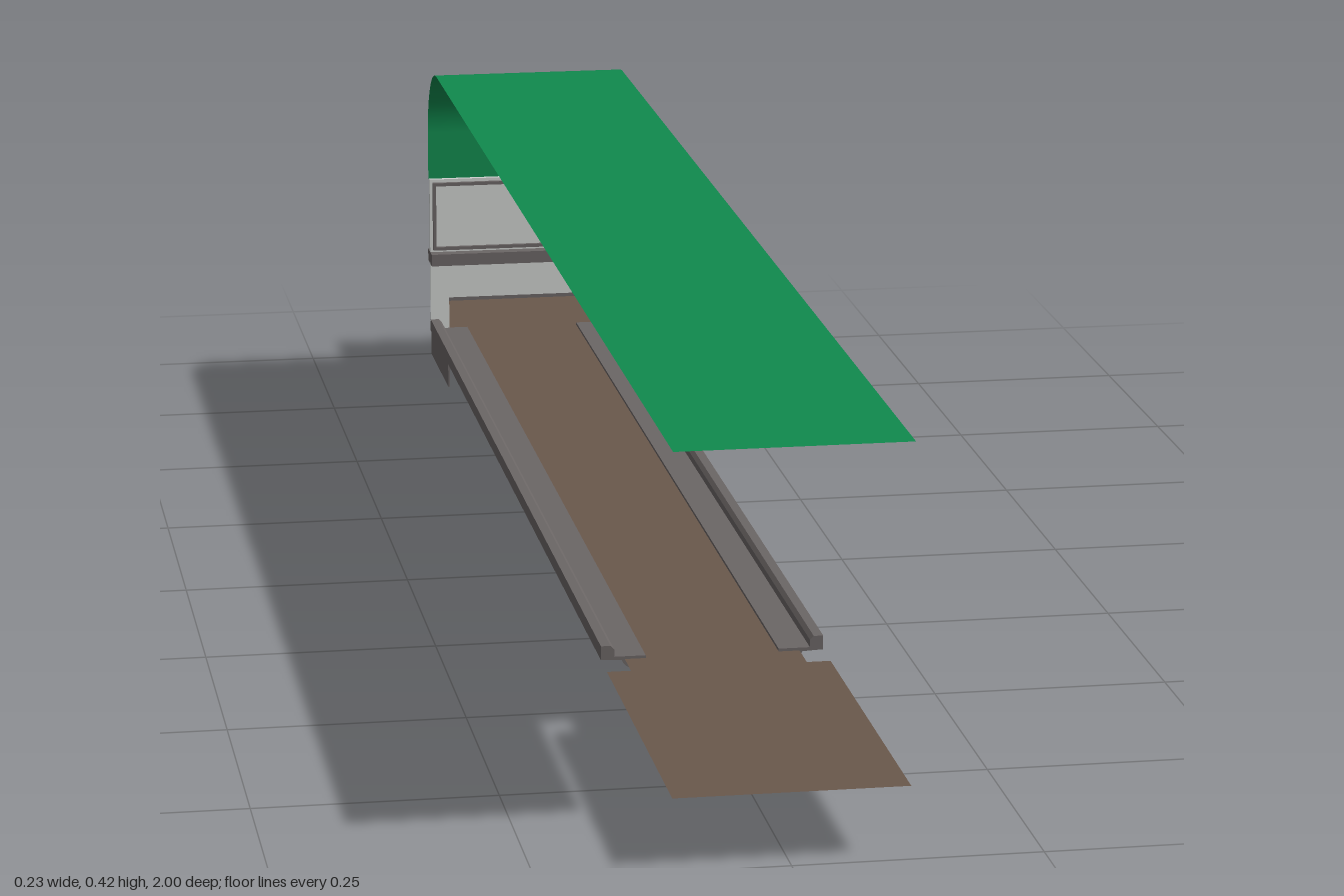
import * as THREE from 'three';

const mat = (name, color, side = THREE.DoubleSide) => {
  const m = new THREE.MeshStandardMaterial({ color, side });
  m.name = name;
  return m;
};

export function createModel() {
  const green = mat('green roof', 0x108a4e);
  const brown = mat('brown floor', 0x6a584b);
  const dark = mat('dark grey trim', 0x6b6665);
  const light = mat('light grey panel', 0xcdd0ce);
  const rose = mat('ceiling lamp', 0x8c706c);
  const model = new THREE.Group();

  const add = (name, geometry, material, parent = model) => {
    const mesh = new THREE.Mesh(geometry, material);
    mesh.name = name;
    parent.add(mesh);
    return mesh;
  };
  // box given by its min and max on each axis
  const box = (name, material, x0, x1, y0, y1, z0, z1, parent) => {
    const m = add(name, new THREE.BoxGeometry(x1 - x0, y1 - y0, z1 - z0), material, parent);
    m.position.set((x0 + x1) / 2, (y0 + y1) / 2, (z0 + z1) / 2);
    return m;
  };

  const W = 0.117, wallZ = -0.83;

  // roof sheet: flat run, quarter bend, short drop at the back
  const top = 0.42, back = -0.84, R = 0.09;
  const rows = [[top, 1, 1, 0]]; // y, z, normal y, normal z
  for (let i = 0; i <= 16; i++) {
    const a = (i / 16) * Math.PI / 2, c = Math.cos(a), s = Math.sin(a);
    rows.push([top - R + R * c, back + R - R * s, c, -s]);
  }
  rows.push([0.27, back, 0, -1]);
  const pos = [], nor = [], idx = [];
  rows.forEach(([y, z, ny, nz], i) => {
    pos.push(-W, y, z, W, y, z);
    nor.push(0, ny, nz, 0, ny, nz);
    if (i) {
      const a = 2 * i - 2;
      idx.push(a, a + 1, a + 3, a, a + 3, a + 2);
    }
  });
  const roof = new THREE.BufferGeometry();
  roof.setAttribute('position', new THREE.Float32BufferAttribute(pos, 3));
  roof.setAttribute('normal', new THREE.Float32BufferAttribute(nor, 3));
  roof.setIndex(idx);
  add('roof', roof, green);

  // round lamps under the roof
  for (const z of [0.78, 0.485, 0.135, -0.16, -0.455]) {
    add('ceilingLamp', new THREE.CylinderGeometry(0.013, 0.013, 0.004, 16), rose)
      .position.set(0.01, top - 0.003, z);
  }

  // floor: wide at the front, narrow between the rails
  const n = 0.092, step = 0.6;
  const floor = new THREE.Shape([
    [-W, -1], [W, -1], [W, -step], [n, -step], [n, 0.98], [-n, 0.98], [-n, -step], [-W, -step],
  ].map(p => new THREE.Vector2(...p)));
  const floorMesh = add('floor', new THREE.ShapeGeometry(floor), brown);
  floorMesh.rotation.x = -Math.PI / 2;
  floorMesh.position.y = 0.075;

  // side rails: outer curb, flat ledge and rounded underside
  for (const s of [-1, 1]) {
    const rail = new THREE.Shape();
    rail.moveTo(s * W, 0.075);
    rail.lineTo(s * W, 0.09);
    rail.lineTo(s * 0.107, 0.09);
    rail.lineTo(s * 0.103, 0.086);
    rail.lineTo(s * 0.103, 0.078);
    rail.lineTo(s * 0.07, 0.078);
    rail.lineTo(s * 0.07, 0.074);
    rail.bezierCurveTo(s * 0.073, 0.062, s * 0.092, 0.062, s * 0.095, 0.074);
    const g = new THREE.ExtrudeGeometry(rail, { depth: 0.56 - wallZ, bevelEnabled: false, curveSegments: 8 });
    add(s > 0 ? 'leftRail' : 'rightRail', g, dark).position.z = wallZ;
  }

  // end wall: upper panel with a dark frame, cross bar and door jambs
  const wall = new THREE.Group();
  wall.name = 'endWall';
  model.add(wall);
  box('upperPanel', light, -W, W, 0.178, 0.272, wallZ - 0.003, wallZ + 0.003, wall);
  const frame = new THREE.Shape();
  const rect = (p, x, y0, y1) => {
    p.moveTo(-x, y0); p.lineTo(x, y0); p.lineTo(x, y1); p.lineTo(-x, y1); p.closePath();
    return p;
  };
  rect(frame, 0.1135, 0.181, 0.268);
  frame.holes.push(rect(new THREE.Path(), 0.1095, 0.185, 0.264));
  add('panelFrame', new THREE.ExtrudeGeometry(frame, { depth: 0.006, bevelEnabled: false }), dark, wall)
    .position.z = wallZ + 0.002;
  box('crossBar', dark, -W, W, 0.163, 0.178, wallZ - 0.018, wallZ + 0.018, wall);
  for (const s of [-1, 1]) {
    const x = s * 0.106;
    box('doorJamb', light, x - 0.011, x + 0.011, 0.075, 0.164, wallZ - 0.002, wallZ + 0.002, wall);
  }

  // end cabin: open towards the front and below
  const cabin = new THREE.Group();
  cabin.name = 'endCabin';
  model.add(cabin);
  const B = 0.095, t = 0.002;
  const shell = (name, material, y0, y1) => {
    for (const s of [-1, 1]) {
      const x = s * (B - t / 2);
      box(name + 'Side', material, x - t / 2, x + t / 2, y0, y1, -1, wallZ, cabin);
    }
    box(name + 'Back', material, -B, B, y0, y1, -1, -1 + t, cabin);
  };
  shell('skirt', dark, 0, 0.075);
  shell('upper', light, 0.075, 0.163);
  box('cabinTop', light, -B, B, 0.163, 0.165, -1, wallZ, cabin);

  return model;
}
